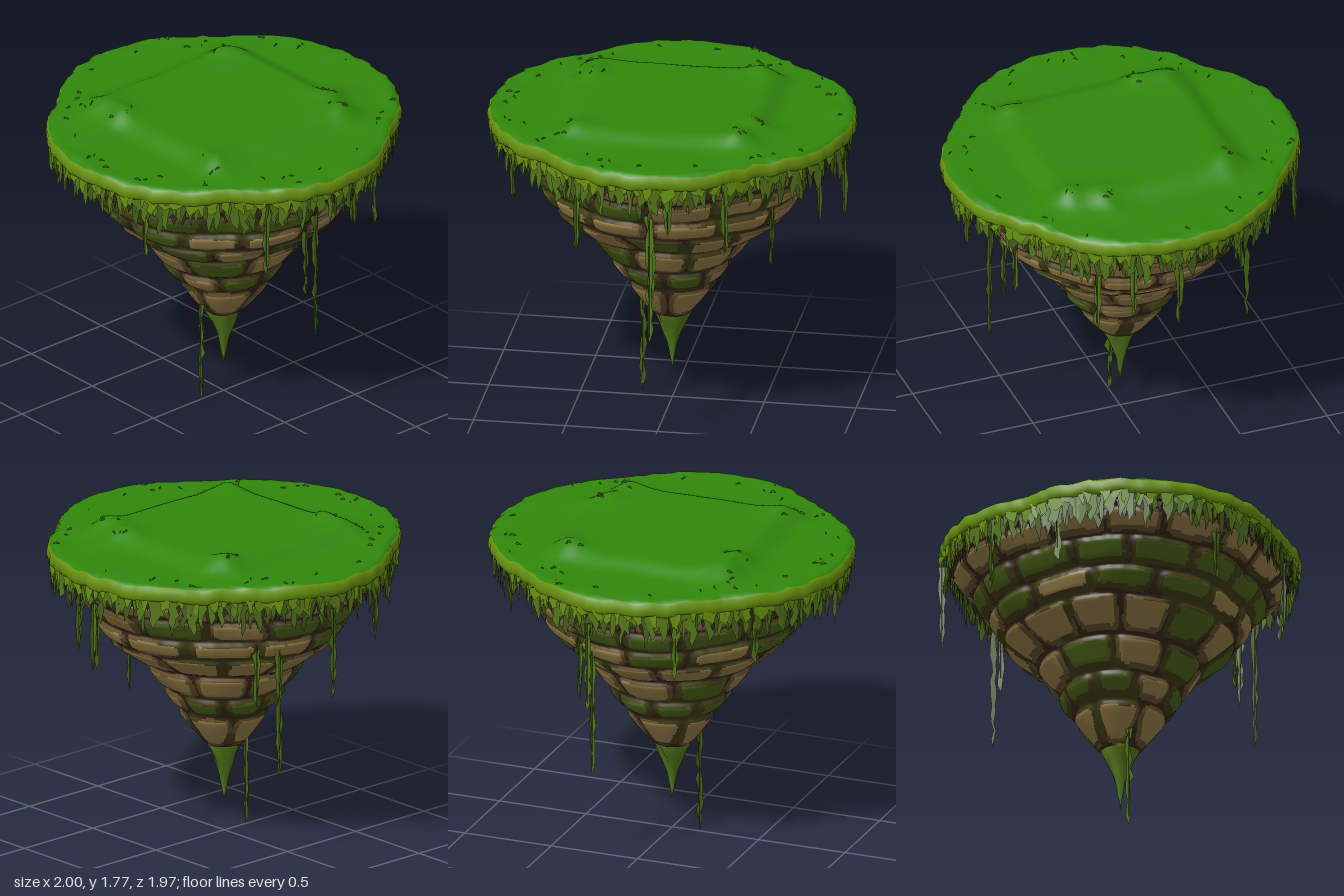
import * as THREE from 'three';

const mat = (name, color, side = THREE.FrontSide) => {
  const m = new THREE.MeshStandardMaterial({ color, side });
  m.name = name;
  return m;
};
let seed = 7;
const rnd = () => ((seed = (seed * 16807) % 2147483647) / 2147483647);
const hash = (a, b) => {
  const s = Math.sin(a * 127.1 + b * 311.7) * 43758.5453;
  return s - Math.floor(s);
};
// Smooth wobble in space, roughly -1..1
const wobble = (x, y, z, f) =>
  (Math.sin(x * f + 1.3 * Math.sin(z * f * 0.7)) + Math.sin(y * f * 1.2 + 2 + Math.sin(x * f * 0.8)) +
    Math.sin(z * f + 4 + 1.2 * Math.sin(y * f * 0.9))) / 3;
const lerp = THREE.MathUtils.lerp;
const smooth = THREE.MathUtils.smoothstep;

// Plan outline: a round island, slightly flattened at the diagonals
const OUTLINE = [[0, 1], [20, 0.993], [37, 0.962], [50, 0.92], [63, 0.945], [75, 0.98], [90, 0.988]];
function outline(a) {
  const d = THREE.MathUtils.radToDeg(Math.atan2(Math.abs(Math.sin(a)), Math.abs(Math.cos(a))));
  const k = Math.max(1, OUTLINE.findIndex((p) => p[0] >= d - 1e-6));
  const [p, q] = [OUTLINE[k - 1], OUTLINE[k]];
  return lerp(p[1], q[1], (d - p[0]) / (q[0] - p[0])) - 0.008 * Math.abs(Math.sin(a * 31 + 2 * Math.sin(a * 5)));
}

// Closed stack of rings; pick() chooses the material of each cell
function ringSurface(name, nu, nv, point, materials, pick) {
  const pos = [];
  const lists = materials.map(() => []);
  for (let j = 0; j <= nv; j++) {
    for (let i = 0; i < nu; i++) pos.push(...point((i / nu) * Math.PI * 2, j));
  }
  for (let j = 0; j < nv; j++) {
    for (let i = 0; i < nu; i++) {
      const n = (i + 1) % nu;
      const [a, b, c, d] = [j * nu + i, j * nu + n, (j + 1) * nu + i, (j + 1) * nu + n];
      lists[pick(((i + 0.5) / nu) * Math.PI * 2, j + 0.5)].push(a, b, c, b, d, c);
    }
  }
  const geo = new THREE.BufferGeometry();
  geo.setAttribute('position', new THREE.Float32BufferAttribute(pos, 3));
  geo.setIndex(lists.flat());
  let start = 0;
  lists.forEach((l, k) => {
    geo.addGroup(start, l.length, k);
    start += l.length;
  });
  geo.computeVertexNormals();
  const mesh = new THREE.Mesh(geo, materials);
  mesh.name = name;
  return mesh;
}

// Ragged tapering ribbon hanging down from a point (negative length stands up)
function ribbon(out, x, y, z, length, width, angle, taper = 0.7) {
  const n = Math.max(3, Math.ceil(Math.abs(length) / 0.05));
  const [c, sn] = [Math.cos(angle), Math.sin(angle)];
  let last = null;
  for (let k = 0; k <= n; k++) {
    const t = k / n;
    const w = 0.5 * width * Math.pow(1 - t, taper) * (k ? 0.55 + 0.8 * rnd() : 1);
    const s = k ? (rnd() - 0.5) * width * 0.4 : 0;
    const L = [x + c * (s - w), y - length * t, z + sn * (s - w)];
    const R = [x + c * (s + w), y - length * t, z + sn * (s + w)];
    if (last) out.push(...last[0], ...L, ...last[1], ...last[1], ...L, ...R);
    last = [L, R];
  }
}
function ribbonMesh(name, pos, material) {
  const geo = new THREE.BufferGeometry();
  geo.setAttribute('position', new THREE.Float32BufferAttribute(pos, 3));
  geo.computeVertexNormals();
  const mesh = new THREE.Mesh(geo, material);
  mesh.name = name;
  return mesh;
}

// Stone courses: [top y, top radius, stones around, shift, share of mossy stones]
const ROWS = [[1.61, 0.95, 20, 0, 0], [1.54, 0.915, 16, 0.5, 0.1], [1.42, 0.81, 14, 0, 0.65],
  [1.28, 0.71, 12, 0.5, 0.4], [1.15, 0.625, 12, 0, 0.2], [1, 0.44, 8, 0, 0.25], [0.84, 0.325, 8, 0.5, 0.85],
  [0.71, 0.245, 5, 0.25, 0], [0.5, 0.11, 4, 0, 0]];
const STEPS = 16;
const CORNER = 0.06;
function stone(a, j) {
  const row = Math.min(ROWS.length - 2, Math.floor(j / STEPS));
  const v = j / STEPS - row;
  const [y0, r0, count, shift] = ROWS[row];
  const [y1, r1] = ROWS[row + 1];
  const flatR = lerp(r0, r1, Math.pow(v, 1.2));
  const px = Math.cos(a) * flatR;
  const pz = Math.sin(a) * flatR;
  const y = lerp(y0, y1, v) + 0.014 * wobble(px, 0, pz, 6) * (row > 0 ? 1 : v);
  const u = (a / (Math.PI * 2)) * count + shift + 0.5 + 0.14 * wobble(px, y, pz, 7);
  const cell = ((Math.floor(u) % count) + count) % count;
  const f = u - Math.floor(u);
  const side = (Math.min(f, 1 - f) * Math.PI * 2 * flatR) / count;
  const level = Math.min(v, 1 - v) * Math.hypot(y0 - y1, r0 - r1);
  // Rounded corners on each stone
  const edge = side < CORNER && level < CORNER
    ? CORNER - Math.hypot(CORNER - side, CORNER - level) : Math.min(side, level);
  const r = flatR + 0.028 * smooth(edge, -0.01, 0.05) * Math.min(1, flatR * 3)
    + 0.014 * wobble(px, y, pz, 13) * Math.min(1, flatR * 3) - 0.01;
  return { row, cell, y, r: r * lerp(1, outline(a), smooth(y, 1, 1.5)), px, pz, edge };
}

export function createModel() {
  const island = new THREE.Group();
  island.name = 'floatingIsland';
  const D = THREE.DoubleSide;
  const grass = mat('grass green', 0x31870b);
  const rim = mat('grass rim olive', 0x68920f, D);
  const vine = mat('vine green', 0x537619, D);
  const darkVine = mat('dark vine green', 0x435c18, D);
  const tan = mat('stone tan', 0x988049);
  const brown = mat('stone brown', 0x64502d);
  const dark = mat('mortar brown', 0x38291a, D);
  const moss = mat('moss green', 0x4c6318);
  const darkMoss = mat('dark moss', 0x413e18);

  // Grass cap: disc with a raised square lawn and corner mounds, then a rolled rim
  const MOUNDS = [[-0.5, -0.3], [0.43, -0.46], [0.52, 0.27], [0.44, 0.48], [-0.46, 0.48], [-0.48, -0.48]];
  const EDGE = [[0.985, 1.67], [0.996, 1.655], [1, 1.63], [0.998, 1.605], [0.985, 1.59], [0.93, 1.585]];
  const RINGS = 44;
  const lawn = (x, z) => {
    const square = Math.pow(x ** 6 + z ** 6, 1 / 6) + 0.015 * wobble(x, 0, z, 11);
    let y = 1.678 + 0.052 * (1 - smooth(square, 0.46, 0.61));
    for (const [mx, mz] of MOUNDS) {
      const d = ((x - mx) ** 2 + (z - mz) ** 2) / 0.012;
      y += 0.034 * Math.exp(-d) * (1 + 0.3 * wobble(x, 0, z, 35));
    }
    return y + 0.006 * wobble(x, 0, z, 25) * smooth(Math.hypot(x, z), 0.75, 0.95);
  };
  island.add(ringSurface('grassCap', 180, RINGS + EDGE.length, (a, j) => {
    const flat = j <= RINGS;
    const r = outline(a) * (flat ? (0.968 * j) / RINGS : EDGE[j - RINGS - 1][0]);
    const [x, z] = [Math.cos(a) * r, Math.sin(a) * r];
    return [x, flat ? lawn(x, z) : EDGE[j - RINGS - 1][1] + 0.007 * Math.sin(a * 23 + 2 * Math.sin(a * 7)), z];
  }, [grass, rim], (a, j) => (j > RINGS + 1 ? 1 : 0)));

  // Tapering body of rounded stones with mortar and moss
  island.add(ringSurface('stoneBody', 260, STEPS * (ROWS.length - 1), (a, j) => {
    const s = stone(a, j);
    return [Math.cos(a) * s.r, s.y, Math.sin(a) * s.r];
  }, [tan, brown, dark, moss, darkMoss], (a, j) => {
    const s = stone(a, j);
    const e = s.edge + 0.012 * wobble(s.px, s.y, s.pz, 24);
    const mossy = hash(s.row, s.cell) < ROWS[s.row][4];
    const patch = wobble(s.px + 3, s.y, s.pz, 8) > 0.25;
    if (s.row === 0 || e < 0.01) return patch && s.row > 1 ? 4 : 2;
    if (e < 0.036) return patch || mossy ? 4 : 1;
    return mossy ? 3 : 0;
  }));

  // Pointed moss root under the stones
  const ROOT = [[0.1, 0.53], [0.098, 0.5], [0.07, 0.44], [0.048, 0.38], [0.027, 0.32], [0.013, 0.24], [0, 0.16]];
  island.add(ringSurface('rootTip', 16, ROOT.length - 1, (a, j) => {
    const r = ROOT[j][0] * (1 + 0.1 * Math.sin(a * 4 + j));
    return [Math.cos(a) * r, ROOT[j][1] + (j < 3 ? 0.015 * Math.sin(a * 5) : 0), Math.sin(a) * r];
  }, [vine], () => 0));

  // Ragged fringe hanging beneath the rim, in layers: count, radius, shortest, extra length
  const layers = [['rimFringe', rim, 90, 0.99, 0.04, 0.06], ['vineFringe', vine, 120, 0.978, 0.07, 0.14],
    ['darkFringe', darkVine, 100, 0.962, 0.08, 0.14], ['earthFringe', dark, 110, 0.945, 0.08, 0.08]];
  for (const [name, material, count, radius, min, extra] of layers) {
    const pos = [];
    for (let i = 0; i < count; i++) {
      const a = ((i + rnd() * 0.8) / count) * Math.PI * 2;
      const r = radius * outline(a);
      ribbon(pos, Math.cos(a) * r, 1.605, Math.sin(a) * r, min + extra * rnd(), 0.035 + 0.05 * rnd(),
        a + Math.PI / 2 + (rnd() - 0.5) * 0.6, 0.55);
    }
    island.add(ribbonMesh(name, pos, material));
  }

  // Long vines: x, z, top, bottom
  const VINES = [[-0.16, 0, 0.68, 0], [0, 0.75, 1.42, 0.6], [0, 0.67, 1.35, 0.83], [0.2, -0.65, 1.38, 0.51],
    [0.94, 0.02, 1.5, 1.1], [0.1, -0.97, 1.52, 1.01], [0.3, -0.58, 1.3, 0.9], [-0.82, 0.3, 1.5, 1.2],
    [-0.39, 0.8, 1.55, 1.14], [0.41, 0.76, 1.5, 1.16], [0.84, 0.24, 1.5, 1.14], [0.6, 0.36, 1.3, 0.94],
    [-0.7, -0.55, 1.5, 1.25], [-0.35, -0.82, 1.55, 1.2], [0.13, 0.93, 1.55, 1.32]];
  const strands = [[], []];
  VINES.forEach(([x, z, top, bottom], i) => {
    const a = Math.atan2(z, x);
    ribbon(strands[0], x, top, z, top - bottom, 0.044, a + Math.PI / 2, 0.25);
    ribbon(strands[1], x, top, z, (top - bottom) * 0.97, 0.036, a + 0.2 * (i % 3), 0.25);
  });
  island.add(ribbonMesh('hangingVines', strands[0], vine));
  island.add(ribbonMesh('hangingVineShoots', strands[1], darkVine));

  // Small grass tufts along the rim and on the mounds
  const tufts = [];
  for (let i = 0; i < 54; i++) {
    const a = rnd() * Math.PI * 2;
    const m = i < 36 ? [0, 0] : MOUNDS[i % MOUNDS.length];
    const r = i < 36 ? (0.84 + 0.12 * rnd()) * outline(a) : 0.09 * rnd();
    const x = Math.cos(a) * r + m[0];
    const z = Math.sin(a) * r + m[1];
    ribbon(tufts, x, lawn(x, z) - 0.004, z, -0.012 - 0.008 * rnd(), 0.04, rnd() * Math.PI);
  }
  island.add(ribbonMesh('grassTufts', tufts, vine));
  return island;
}
